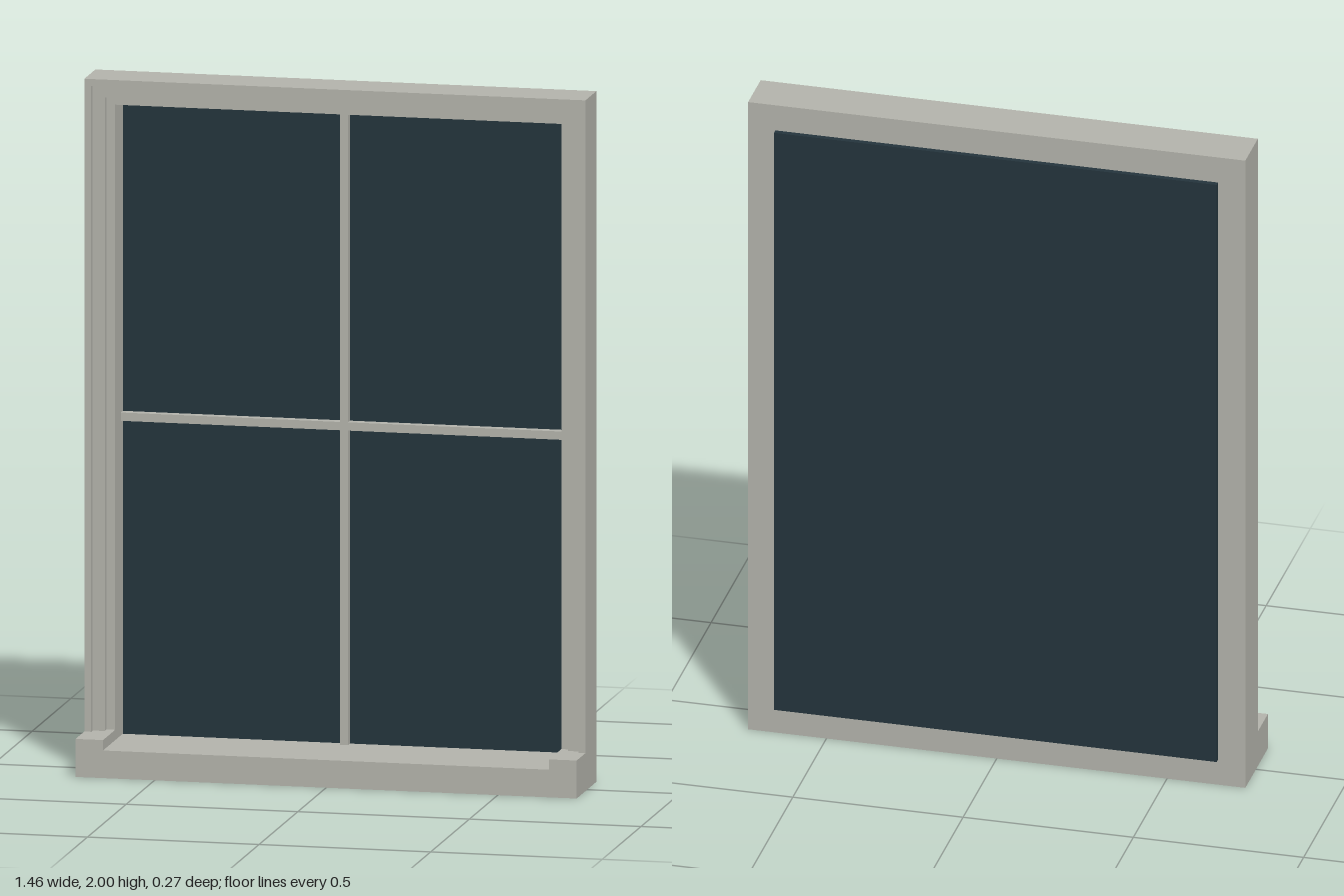
import * as THREE from 'three';

const W = 0.73, H = 2, BACK = -0.12, FRONT = 0.022, SILL_FRONT = 0.135;
const OPEN = 0.65, SILL_TOP = 0.08, EAR_TOP = 0.11;

const stone = new THREE.MeshStandardMaterial({ color: 0xb5b5ad });
const glassMat = new THREE.MeshStandardMaterial({ color: 0x24353d });

function box(name, mat, x0, x1, y0, y1, z0, z1) {
  const mesh = new THREE.Mesh(new THREE.BoxGeometry(x1 - x0, y1 - y0, z1 - z0), mat);
  mesh.position.set((x0 + x1) / 2, (y0 + y1) / 2, (z0 + z1) / 2);
  mesh.name = name;
  return mesh;
}

// Stepped moulding swept up one jamb, across the head and down the other, mitred
function frameGeometry() {
  // [inset from the outer edge, z]
  const profile = [
    [0, FRONT], [0.02, FRONT], [0.02, 0.002], [0.055, 0.002],
    [0.055, -0.022], [W - OPEN, -0.022], [W - OPEN, BACK], [0, BACK],
  ];
  const corners = [
    s => [-(W - s), EAR_TOP], s => [-(W - s), H - s],
    s => [W - s, H - s], s => [W - s, EAR_TOP],
  ];
  const pos = [];
  for (let i = 0; i < 3; i++) {
    for (let j = 0; j < profile.length; j++) {
      const p = profile[j], q = profile[(j + 1) % profile.length];
      const a = [...corners[i](p[0]), p[1]], b = [...corners[i](q[0]), q[1]];
      const c = [...corners[i + 1](q[0]), q[1]], d = [...corners[i + 1](p[0]), p[1]];
      pos.push(...a, ...b, ...c, ...a, ...c, ...d);
    }
  }
  const geo = new THREE.BufferGeometry();
  geo.setAttribute('position', new THREE.Float32BufferAttribute(pos, 3));
  geo.computeVertexNormals();
  return geo;
}

// Sill with a raised block at each end
function sillGeometry() {
  const shape = new THREE.Shape([
    [-W, 0], [W, 0], [W, EAR_TOP], [OPEN, EAR_TOP], [OPEN, SILL_TOP],
    [-OPEN, SILL_TOP], [-OPEN, EAR_TOP], [-W, EAR_TOP],
  ].map(([x, y]) => new THREE.Vector2(x, y)));
  const geo = new THREE.ExtrudeGeometry(shape, { depth: SILL_FRONT - BACK, bevelEnabled: false });
  return geo.translate(0, 0, BACK);
}

export function createModel() {
  const group = new THREE.Group();
  group.name = 'window';

  const frame = new THREE.Mesh(frameGeometry(), stone);
  frame.name = 'frame';
  const sill = new THREE.Mesh(sillGeometry(), stone);
  sill.name = 'sill';
  group.add(frame, sill);

  // Pane closing the back of the opening
  group.add(box('glassPane', glassMat, -OPEN, OPEN, SILL_TOP, 1.92, -0.136, BACK));

  // Glazing bars
  const barFront = BACK + 0.026, half = 0.012;
  group.add(box('verticalBar', stone, -half, half, SILL_TOP, 1.92, BACK, barFront));
  for (const s of [-1, 1]) {
    const x0 = s < 0 ? -OPEN : half, x1 = s < 0 ? -half : OPEN;
    group.add(box(s < 0 ? 'rightBar' : 'leftBar', stone, x0, x1, 1.003 - half, 1.003 + half, BACK, barFront));
  }
  return group;
}
